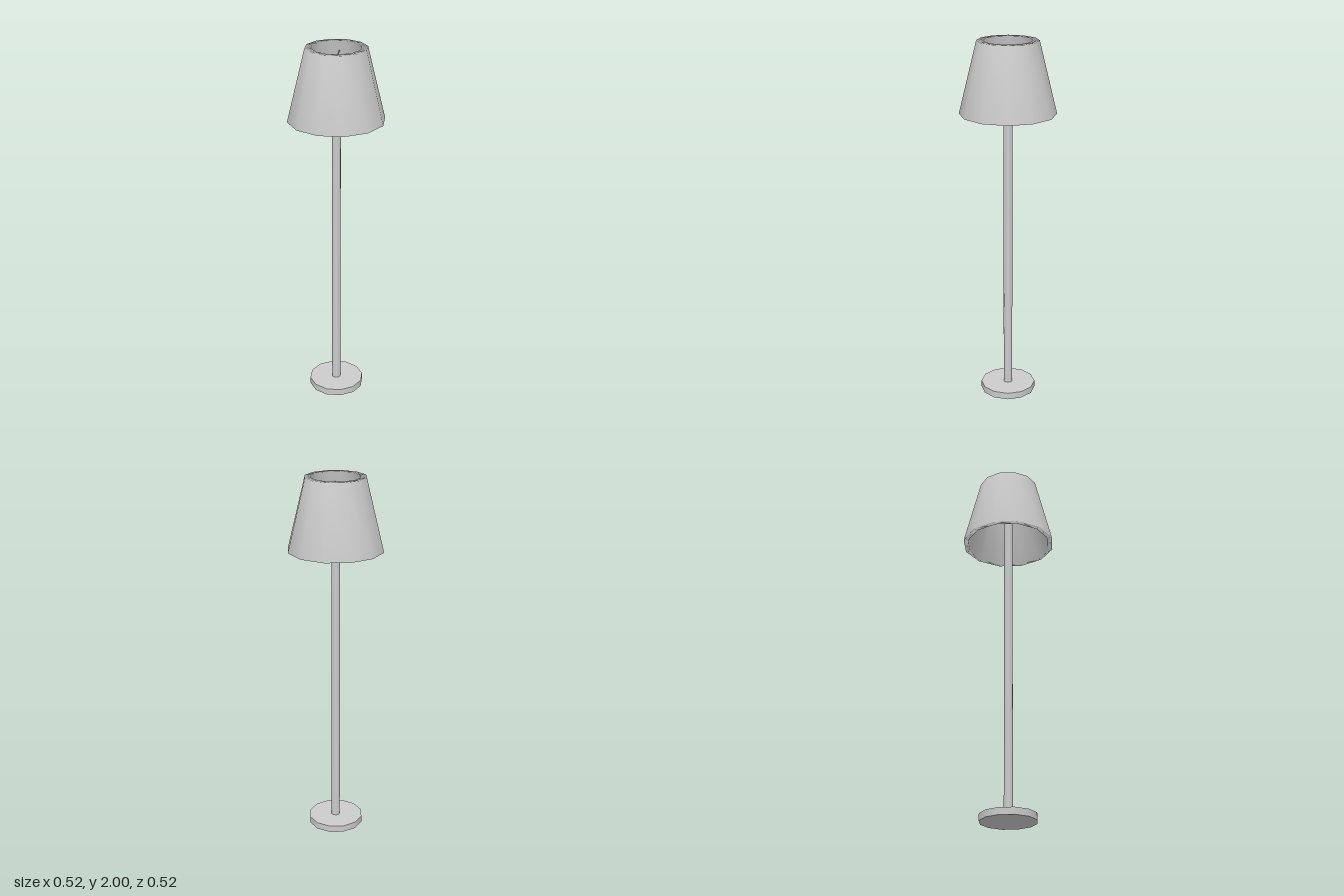
import * as THREE from 'three';
import { mergeVertices } from 'three/addons/utils/BufferGeometryUtils.js';

const SIDES = 12;
const material = new THREE.MeshStandardMaterial({ color: 0xcccccc });

function addMesh(parent, name, geometry) {
  const mesh = new THREE.Mesh(geometry, material);
  mesh.name = name;
  parent.add(mesh);
  return mesh;
}

// Closed ring-shaped shell with normals shared across its rims
function shadeGeometry() {
  const profile = [[0.13, 2], [0.232, 1.615], [0.258, 1.615], [0.163, 2], [0.13, 2]]
    .map(([r, y]) => new THREE.Vector2(r, y));
  const lathe = new THREE.LatheGeometry(profile, SIDES);
  lathe.deleteAttribute('uv');
  lathe.deleteAttribute('normal');
  const shell = mergeVertices(lathe);
  shell.computeVertexNormals();
  return shell;
}

export function createModel() {
  const lamp = new THREE.Group();
  lamp.name = 'floorLamp';

  // Round foot
  const baseHeight = 0.038;
  addMesh(lamp, 'base', new THREE.CylinderGeometry(0.152, 0.152, baseHeight, SIDES))
    .position.y = baseHeight / 2;

  // Slim pole reaching into the shade
  const poleTop = 1.95;
  addMesh(lamp, 'pole', new THREE.CylinderGeometry(0.024, 0.024, poleTop - baseHeight, SIDES))
    .position.y = (poleTop + baseHeight) / 2;

  // Tapered shade
  addMesh(lamp, 'shade', shadeGeometry());

  // Six thin arms from the pole to the inside of the shade
  const arms = new THREE.Group();
  arms.name = 'shadeArms';
  arms.position.y = poleTop - 0.006;
  const inner = 0.02, outer = 0.141;
  for (let i = 0; i < 6; i++) {
    const geometry = new THREE.BoxGeometry(outer - inner, 0.005, 0.005);
    geometry.translate((inner + outer) / 2, 0, 0);
    addMesh(arms, 'shadeArm', geometry).rotation.y = Math.PI / 12 + (i * Math.PI) / 3;
  }
  lamp.add(arms);

  return lamp;
}
